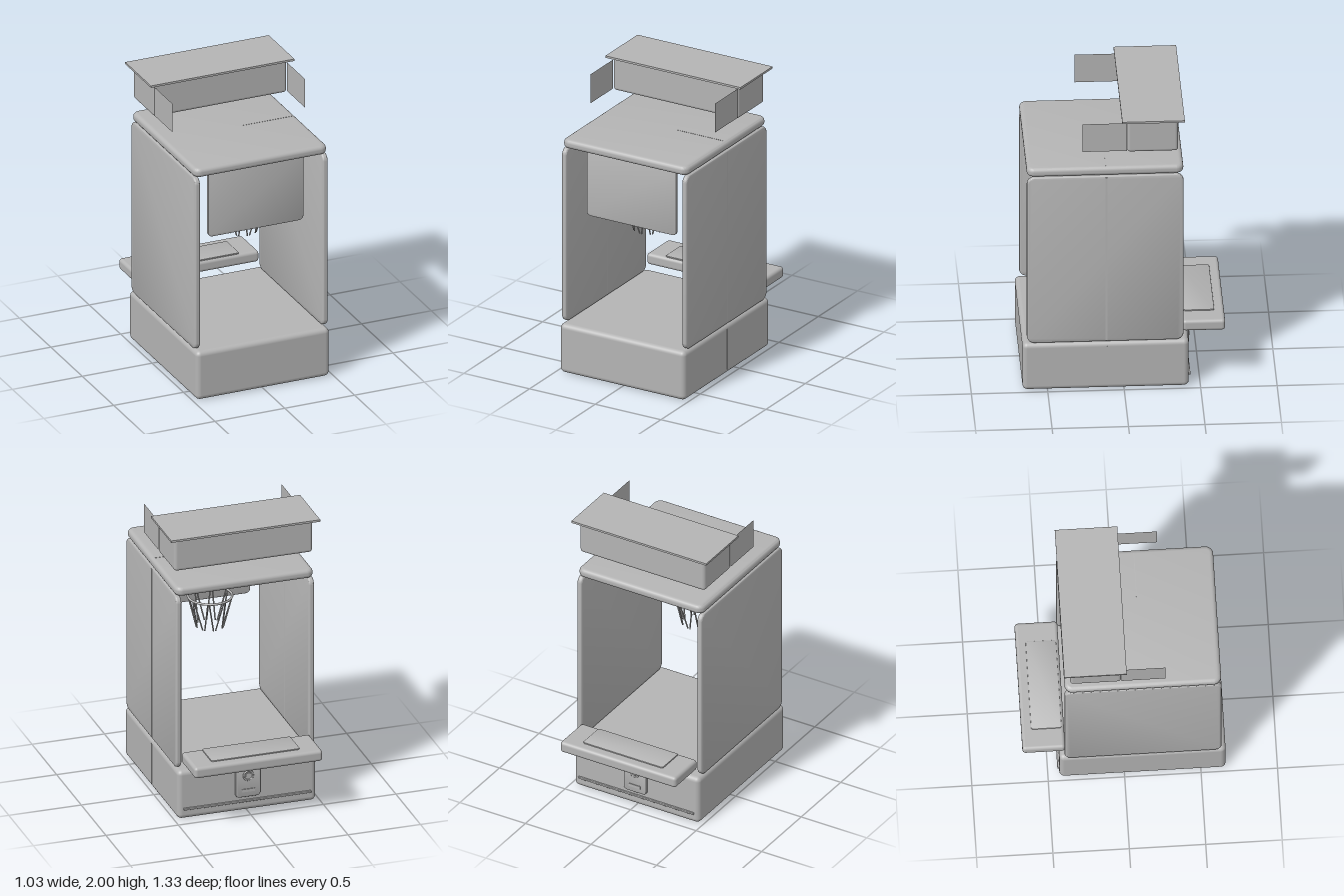
import * as THREE from 'three';
import { toCreasedNormals } from 'three/addons/utils/BufferGeometryUtils.js';
import { RoundedBoxGeometry } from 'three/addons/geometries/RoundedBoxGeometry.js';

const grey = new THREE.MeshStandardMaterial({ color: 0xb4b4b4 });
grey.name = 'plain grey';
const greySheet = new THREE.MeshStandardMaterial({ color: 0xb4b4b4, side: THREE.DoubleSide });
greySheet.name = 'plain grey sheet';

// Plate with rounded outline (w x h) and softened edges, centred, thickness along z
function plateGeometry(w, h, t, r, bevel) {
  const x = w / 2 - bevel, y = h / 2 - bevel, k = Math.max(r - bevel, 0.002);
  const s = new THREE.Shape();
  s.absarc(x - k, y - k, k, 0, Math.PI / 2);
  s.absarc(-x + k, y - k, k, Math.PI / 2, Math.PI);
  s.absarc(-x + k, -y + k, k, Math.PI, Math.PI * 1.5);
  s.absarc(x - k, -y + k, k, Math.PI * 1.5, Math.PI * 2);
  const g = new THREE.ExtrudeGeometry(s, {
    depth: t - 2 * bevel, bevelEnabled: true, bevelThickness: bevel,
    bevelSize: bevel, bevelSegments: 4, curveSegments: 8,
  });
  g.translate(0, 0, -(t / 2 - bevel));
  return toCreasedNormals(g, 0.6);
}

export function createModel() {
  const model = new THREE.Group();
  model.name = 'basketballMachine';

  const add = (name, geometry, x, y, z, parent = model, material = grey) => {
    const m = new THREE.Mesh(geometry, material);
    m.name = name;
    m.position.set(x, y, z);
    parent.add(m);
    return m;
  };
  // Rounded or plain box given by its limits
  const block = (name, [x0, x1], [y0, y1], [z0, z1], r = 0) => {
    const size = [x1 - x0, y1 - y0, z1 - z0];
    const g = r ? new RoundedBoxGeometry(...size, 4, r) : new THREE.BoxGeometry(...size);
    return add(name, g, (x0 + x1) / 2, (y0 + y1) / 2, (z0 + z1) / 2);
  };

  // Cabinet: base, two side walls and roof
  block('base', [-0.477, 0.477], [0, 0.345], [-0.425, 0.663], 0.033);
  for (const side of [-1, 1]) {
    const wall = plateGeometry(1.025, 1.23, 0.037, 0.05, 0.012);
    wall.rotateY(Math.PI / 2);
    add('sideWall', wall, side * 0.4575, 0.965, 0.1225);
  }
  const roof = plateGeometry(0.953, 1.025, 0.062, 0.05, 0.026);
  roof.rotateX(-Math.PI / 2);
  add('roof', roof, 0, 1.614, 0.1225);

  // Fine raised seams
  block('baseSeam', [0.47, 0.4785], [0.03, 0.315], [0.108, 0.12]);
  block('roofSeam', [0.1, 0.45], [1.64, 1.6465], [0.115, 0.119]);
  for (const x of [-0.4385, 0.4765]) {
    block('wallSeam', [x - 0.002, x + 0.001], [0.36, 1.57], [0.108, 0.12]);
  }

  // Overhead sign box with cover and thin side wings
  block('signBox', [-0.477, 0.477], [1.753, 1.99], [-0.355, -0.02], 0.022);
  block('signCover', [-0.514, 0.514], [1.986, 2], [-0.396, 0.013]);
  block('signSeam', [0.47, 0.478], [1.775, 1.975], [-0.193, -0.189]);
  for (const side of [-1, 1]) {
    const wing = new THREE.PlaneGeometry(0.29, 0.205);
    wing.rotateY(Math.PI / 2);
    add('signWing', wing, side * 0.474, 1.868, 0.125, model, greySheet);
  }

  // Backboard
  add('backboard', plateGeometry(0.682, 0.477, 0.022, 0.03, 0.004), 0, 1.339, 0.53);

  // Hoop with bracket and zigzag net strands
  const hoop = new THREE.Group();
  hoop.name = 'hoop';
  hoop.position.set(0, 1.215, 0.33);
  model.add(hoop);
  const rim = new THREE.TorusGeometry(0.145, 0.008, 8, 40);
  rim.rotateX(Math.PI / 2);
  add('rim', rim, 0, 0, 0, hoop);
  add('rimBracket', new THREE.BoxGeometry(0.1, 0.02, 0.06), 0, 0, 0.168, hoop);
  const ringPoint = (r, a, y) => new THREE.Vector3(r * Math.cos(a), y, r * Math.sin(a));
  const count = 8;
  for (let i = 0; i < count; i++) {
    const a = (i / count) * Math.PI * 2;
    for (const turn of [-1, 1]) {
      const path = new THREE.LineCurve3(
        ringPoint(0.145, a + turn * 0.36, 0), ringPoint(0.092, a + turn * 0.08, -0.215));
      add('netStrand', new THREE.TubeGeometry(path, 1, 0.005, 6), 0, 0, 0, hoop);
    }
  }

  // Rear shelf with raised inlay
  block('rearShelf', [-0.442, 0.442], [0.39, 0.468], [-0.665, -0.385], 0.022);
  const inlay = plateGeometry(0.61, 0.2, 0.014, 0.015, 0.003);
  inlay.rotateX(-Math.PI / 2);
  add('shelfInlay', inlay, 0, 0.469, -0.5);

  // Coin door on the back of the base
  add('coinDoor', plateGeometry(0.17, 0.205, 0.03, 0.025, 0.005), 0, 0.21, -0.432);
  add('coinRing', new THREE.TorusGeometry(0.032, 0.006, 8, 28), 0, 0.26, -0.448);
  const button = new THREE.CylinderGeometry(0.02, 0.02, 0.012, 24);
  button.rotateX(Math.PI / 2);
  add('coinButton', button, 0, 0.26, -0.449);
  block('coinSlot', [-0.045, 0.045], [0.145, 0.165], [-0.452, -0.44]);
  block('kickStrip', [-0.44, 0.44], [0.065, 0.08], [-0.437, -0.42], 0.005);

  return model;
}
